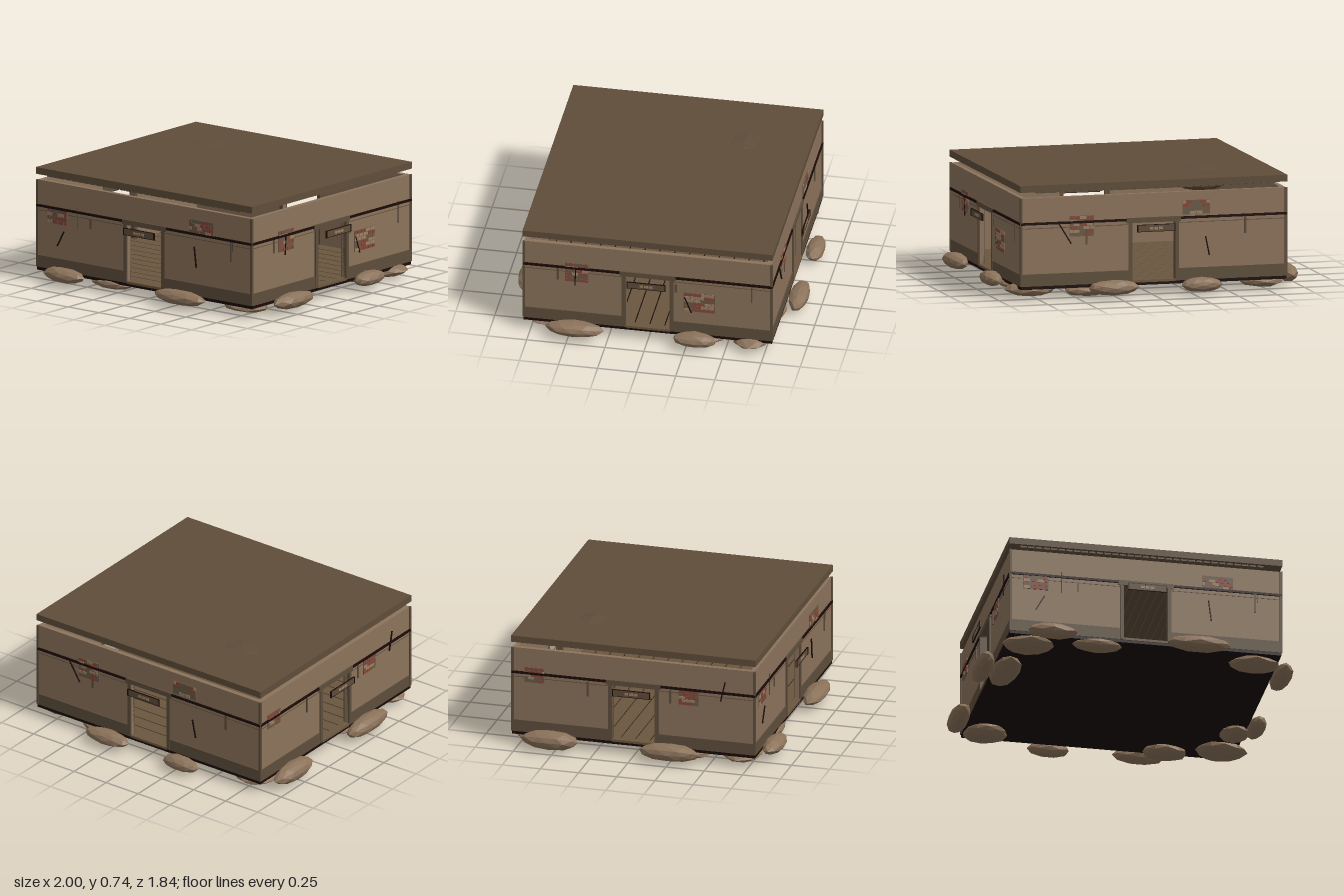
import * as THREE from 'three';

const mat = (name, hex) => {
  const m = new THREE.MeshStandardMaterial({ color: hex });
  m.name = name;
  return m;
};
const M = {
  plaster: mat('plaster', 0x8b735b),
  roof: mat('roofBrown', 0x5f4d3a),
  trim: mat('trimBrown', 0x5e4e3c),
  dark: mat('darkWood', 0x1a0a07),
  rock: mat('rock', 0x8b725a),
  mortar: mat('mortar', 0x685a47),
  red: mat('redBrick', 0x854638),
  tan: mat('tanBrick', 0x9c7f63),
  plank: mat('plank', 0x6b573f),
};

const add = (parent, name, geo, material, x = 0, y = 0, z = 0) => {
  const mesh = new THREE.Mesh(geo, material);
  mesh.name = name;
  mesh.position.set(x, y, z);
  parent.add(mesh);
  return mesh;
};
// Box given by its limits in x, y and z
const span = (parent, name, material, x0, x1, y0, y1, z0, z1) =>
  add(parent, name, new THREE.BoxGeometry(x1 - x0, y1 - y0, z1 - z0), material,
    (x0 + x1) / 2, (y0 + y1) / 2, (z0 + z1) / 2);

const hash = (a, b = 0, c = 0) => {
  const s = Math.sin(a * 127.1 + b * 311.7 + c * 74.7) * 43758.5453;
  return s - Math.floor(s);
};

// Faceted flattened stone, dented by a rule so shared corners stay together
function stone(parent, name, material, [x, y, z], [rx, ry, rz], seed) {
  const geo = new THREE.IcosahedronGeometry(1, 1);
  const p = geo.attributes.position;
  for (let i = 0; i < p.count; i++) {
    const r = [p.getX(i), p.getY(i), p.getZ(i)].map(v => Math.round(v * 100) / 100 + 0);
    const k = 1 - 0.1 * hash(r[0] + seed, r[1], r[2]);
    p.setXYZ(i, p.getX(i) * k * rx, p.getY(i) * k * ry, p.getZ(i) * k * rz);
  }
  geo.computeVertexNormals();
  add(parent, name, geo, material, x, y, z);
}

// Exposed masonry: mortar plate with staggered bricks
function brickPatch(side, d, [u, y, w, h], seed) {
  const g = new THREE.Group();
  g.name = 'brickPatch';
  side.add(g);
  span(g, 'mortarPlate', M.mortar, u - w / 2, u + w / 2, y - h / 2, y + h / 2, d, d + 0.004);
  const rows = Math.round(h / 0.022), rh = h / rows, bw = 0.044;
  for (let r = 0; r < rows; r++) {
    for (let b = -w / 2 - (r % 2) * bw / 2; b < w / 2 - 0.005; b += bw) {
      const pick = hash(r + seed, b * 50);
      if (pick < 0.25) continue;
      const x0 = Math.max(b, -w / 2) + 0.002, x1 = Math.min(b + bw, w / 2) - 0.002;
      const y0 = y - h / 2 + r * rh;
      if (x1 - x0 > 0.005)
        span(g, 'brick', pick < 0.72 ? M.red : M.tan, u + x0, u + x1, y0 + 0.002, y0 + rh - 0.002, d, d + 0.007);
    }
  }
}

// One wall with doorway; local x runs along the wall, local z points outward
function wall(root, name, turn, W, D, detail, seed) {
  const side = new THREE.Group();
  side.name = name;
  side.rotation.y = turn;
  root.add(side);

  const outline = [[-W, 0.08], [-0.14, 0.08], [-0.14, 0.465], [0.14, 0.465], [0.14, 0.08], [W, 0.08], [W, 0.65], [-W, 0.65]];
  const shape = new THREE.Shape(outline.map(q => new THREE.Vector2(...q)));
  add(side, 'wallPanel', new THREE.ExtrudeGeometry(shape, { depth: 0.03, bevelEnabled: false }), M.plaster, 0, 0, D - 0.03);

  // Skirting, beam line, door jambs and corner posts on both halves
  for (const s of [-1, 1]) {
    const half = (n, m, a, b, y0, y1, z0, z1) =>
      span(side, n, m, Math.min(s * a, s * b), Math.max(s * a, s * b), y0, y1, z0, z1);
    half('skirting', M.trim, 0.14, W, 0.088, 0.165, D, D + 0.006);
    half('beamLine', M.dark, 0.17, W + 0.004, 0.478, 0.493, D, D + 0.009);
    half('plasterSeam', M.trim, 0.165, W, 0.453, 0.457, D, D + 0.002);
    half('doorJamb', M.trim, 0.14, 0.165, 0.09, 0.47, D - 0.035, D + 0.009);
    half('cornerPost', M.trim, W - 0.008, W + 0.008, 0.09, 0.65, D - 0.008, D + 0.008);
    half('signEnd', M.dark, 0.118, 0.125, 0.412, 0.458, D + 0.054, D + 0.064);
  }
  span(side, 'lintel', M.trim, -0.178, 0.178, 0.465, 0.497, D - 0.035, D + 0.01);
  span(side, 'threshold', M.plank, -0.14, 0.14, 0.085, 0.1, D - 0.035, D + 0.009);

  // Hanging sign board without writing
  span(side, 'signBoard', M.roof, -0.125, 0.125, 0.415, 0.456, D + 0.056, D + 0.062);
  for (const y of [0.413, 0.456])
    span(side, 'signEdge', M.dark, -0.125, 0.125, y, y + 0.003, D + 0.055, D + 0.063);
  for (const x of [-0.03, 0, 0.03])
    span(side, 'signPlate', M.tan, x - 0.012, x + 0.012, 0.427, 0.443, D + 0.062, D + 0.064);

  // Weathering
  detail.patches.forEach((q, i) => brickPatch(side, D, q, seed + i * 3));
  for (const [x0, y0, x1, y1] of detail.cracks) {
    const len = Math.hypot(x1 - x0, y1 - y0);
    const c = add(side, 'crack', new THREE.BoxGeometry(0.007, len, 0.008), M.dark, (x0 + x1) / 2, (y0 + y1) / 2, D + 0.004);
    c.rotation.z = Math.atan2(x0 - x1, y1 - y0);
  }
  for (const [x, y0, y1, w] of detail.drips)
    span(side, 'stain', M.trim, x - w / 2, x + w / 2, y0, y1, D, D + 0.006);
}

export function createModel() {
  const root = new THREE.Group();
  root.name = 'house';

  // Base and plank floor
  span(root, 'floorSlab', M.dark, -0.87, 0.87, 0.068, 0.088, -0.795, 0.795);
  for (let i = 0; i < 16; i++) {
    const z = -0.76 + i * 0.095;
    span(root, 'floorPlank', M.plank, -0.835, 0.835, 0.088, 0.096, z, z + 0.086);
  }

  // Four walls
  wall(root, 'frontWall', 0, 0.867, 0.792, {
    patches: [[-0.705, 0.433, 0.16, 0.095], [0.46, 0.533, 0.2, 0.09]],
    cracks: [[-0.705, 0.245, -0.65, 0.345], [0.42, 0.27, 0.403, 0.405]],
    drips: [[-0.54, 0.375, 0.52, 0.005], [-0.435, 0.395, 0.455, 0.014], [0.70, 0.35, 0.485, 0.014], [0.715, 0.42, 0.5, 0.005]],
  }, 1);
  wall(root, 'leftWall', Math.PI / 2, 0.792, 0.867, {
    patches: [[-0.455, 0.453, 0.15, 0.135], [0.33, 0.318, 0.2, 0.135]],
    cracks: [[0.235, 0.355, 0.28, 0.24], [-0.465, 0.36, -0.46, 0.48]],
    drips: [[-0.575, 0.39, 0.49, 0.014], [0.18, 0.38, 0.44, 0.014], [0.665, 0.36, 0.5, 0.008]],
  }, 12);
  wall(root, 'backWall', Math.PI, 0.867, 0.792, {
    patches: [[-0.47, 0.46, 0.16, 0.13], [0.28, 0.55, 0.18, 0.09]],
    cracks: [[-0.62, 0.48, -0.54, 0.35], [0.34, 0.36, 0.365, 0.24]],
    drips: [[-0.44, 0.34, 0.47, 0.014], [0.6, 0.37, 0.48, 0.014]],
  }, 25);
  wall(root, 'rightWall', -Math.PI / 2, 0.792, 0.867, {
    patches: [[-0.65, 0.475, 0.13, 0.1], [0.36, 0.43, 0.13, 0.1]],
    cracks: [[0.6, 0.56, 0.57, 0.43]],
    drips: [[-0.3, 0.37, 0.47, 0.014], [0.24, 0.38, 0.47, 0.014]],
  }, 37);

  // Roof slab, floating above the walls, with slats beneath
  span(root, 'roofSlab', M.roof, -0.875, 0.875, 0.687, 0.73, -0.8, 0.8);
  for (let i = 0; i < 32; i++) {
    const x = -0.8 + i * 0.049;
    span(root, 'ceilingSlat', M.trim, x, x + 0.04, 0.676, 0.687, -0.78, 0.78);
  }
  stone(root, 'roofMound', M.roof, [-0.43, 0.668, -0.39], [0.205, 0.08, 0.17], 4);

  // Dry sprigs in the gap under the roof
  for (const [x, z] of [[-0.12, 0.45], [-0.1, 0.25], [0.62, 0.1], [0.67, -0.05], [0.72, -0.18]])
    for (const t of [-0.35, 0.3]) {
      const s = add(root, 'sprig', new THREE.CylinderGeometry(0.002, 0.004, 0.04, 4), M.dark, x + t * 0.03, 0.666, z);
      s.rotation.set(t, 0, -t);
    }

  // Stones around the foundation: x, y, z, then half sizes
  const stones = [
    [-0.295, 0.065, -0.86, 0.14, 0.05, 0.064], [0.28, 0.07, -0.86, 0.175, 0.052, 0.066],
    [-0.935, 0.075, -0.53, 0.07, 0.064, 0.2], [-0.935, 0.075, 0.25, 0.07, 0.06, 0.21],
    [-0.61, 0.08, 0.85, 0.17, 0.05, 0.07], [0.33, 0.075, 0.85, 0.215, 0.052, 0.075],
    [0.935, 0.078, 0.46, 0.07, 0.054, 0.195], [0.925, 0.078, -0.31, 0.065, 0.05, 0.15],
    [0.77, 0.055, -0.65, 0.17, 0.05, 0.13], [0.72, 0.05, 0.67, 0.17, 0.04, 0.12],
    [-0.73, 0.05, 0.68, 0.17, 0.04, 0.13], [-0.74, 0.05, -0.67, 0.15, 0.045, 0.13],
    [-0.3, 0.055, 0.74, 0.17, 0.038, 0.08], [0.42, 0.042, -0.71, 0.15, 0.043, 0.1],
    [0.8, 0.055, -0.38, 0.1, 0.035, 0.12], [-0.8, 0.045, 0.28, 0.1, 0.045, 0.22],
  ];
  stones.forEach((s, i) => stone(root, 'foundationStone', M.rock, s.slice(0, 3), s.slice(3), i + 1));

  return root;
}
